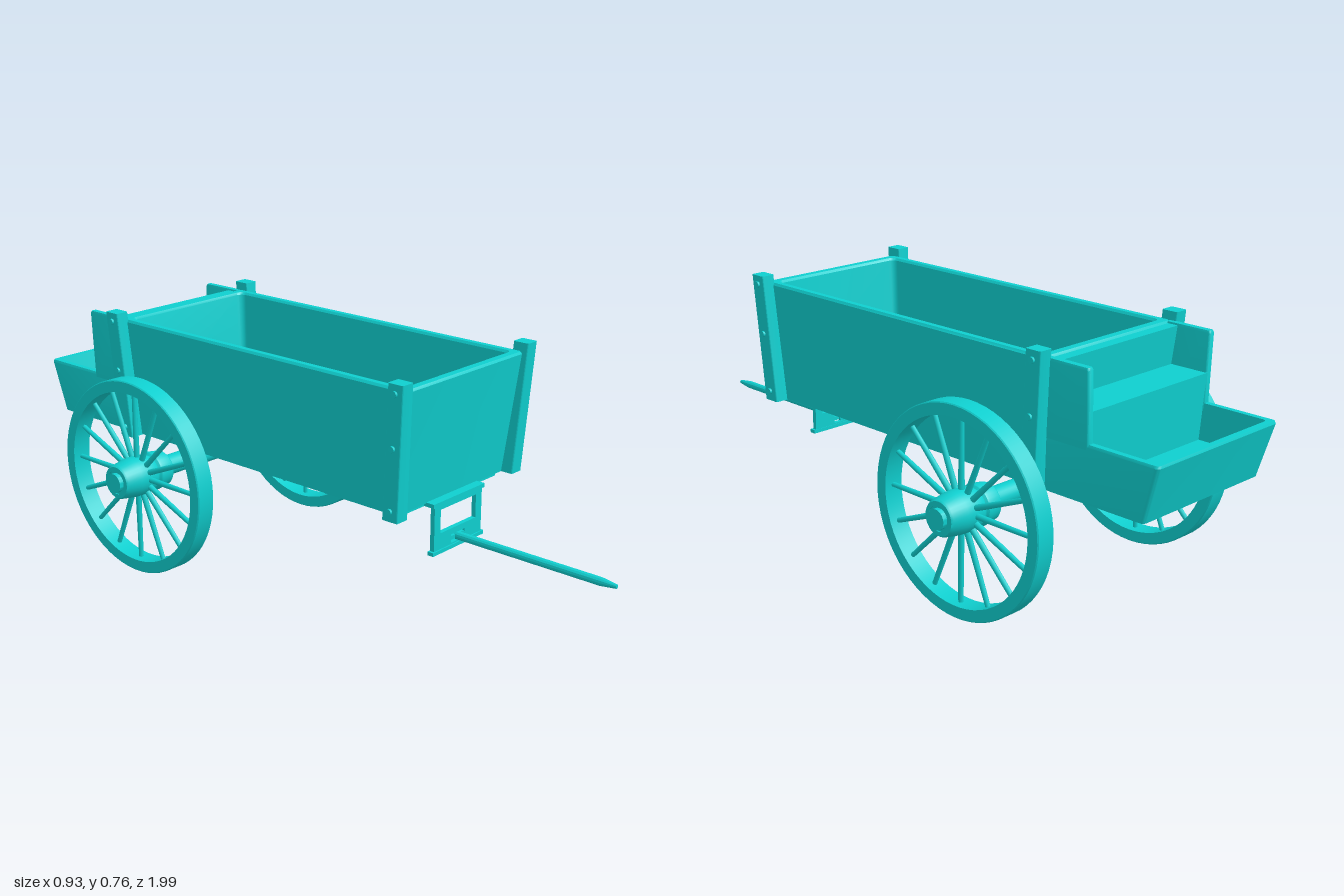
import * as THREE from 'three';
import { toCreasedNormals } from 'three/addons/utils/BufferGeometryUtils.js';

const paint = new THREE.MeshStandardMaterial({ color: 0x0fcfcf });

function add(parent, name, geometry, x = 0, y = 0, z = 0) {
  const mesh = new THREE.Mesh(geometry, paint);
  mesh.name = name;
  mesh.position.set(x, y, z);
  parent.add(mesh);
  return mesh;
}

// Horizontal rectangle at height y; corners rounded by r, or sharp when r is 0
function ring(y, x0, x1, z0, z1, r = 0) {
  const pts = [], seg = r ? 4 : 0;
  const corners = [[x1 - r, z1 - r], [x0 + r, z1 - r], [x0 + r, z0 + r], [x1 - r, z0 + r]];
  corners.forEach(([cx, cz], k) => {
    for (let i = 0; i <= seg; i++) {
      const a = (k + (seg ? i / seg : 0)) * Math.PI / 2;
      pts.push([cx + r * Math.cos(a), y, cz + r * Math.sin(a)]);
    }
  });
  return pts;
}

// Skin through successive rings, capped at the first and the last
function loft(rings) {
  const pos = [], n = rings[0].length;
  const centre = (p) => [0, 1, 2].map((k) => p.reduce((s, v) => s + v[k], 0) / n);
  const first = rings[0], last = rings[rings.length - 1];
  const c0 = centre(first), c1 = centre(last);
  for (let i = 0; i < n; i++) {
    const j = (i + 1) % n;
    pos.push(...c0, ...first[i], ...first[j], ...c1, ...last[j], ...last[i]);
    for (let k = 0; k + 1 < rings.length; k++) {
      const p = rings[k], q = rings[k + 1];
      pos.push(...p[i], ...q[i], ...p[j], ...p[j], ...q[i], ...q[j]);
    }
  }
  const g = new THREE.BufferGeometry();
  g.setAttribute('position', new THREE.Float32BufferAttribute(pos, 3));
  return toCreasedNormals(g, 0.5);
}

// Turned part with its axis along x; points are [radius, x]
function turned(points, segments) {
  const g = new THREE.LatheGeometry(points.map(([r, x]) => new THREE.Vector2(r, x)), segments);
  return toCreasedNormals(g.rotateZ(-Math.PI / 2), 0.5);
}

function createWheel() {
  const wheel = new THREE.Group();
  add(wheel, 'rim', turned([[0.264, -0.03], [0.297, -0.03], [0.3, -0.027], [0.3, 0.027],
    [0.297, 0.03], [0.264, 0.03], [0.264, -0.03]], 64));
  add(wheel, 'hub', turned([[0, -0.1], [0.05, -0.1], [0.054, -0.095], [0.06, -0.055], [0.058, -0.048],
    [0.052, -0.042], [0.058, -0.03], [0.061, 0], [0.06, 0.03], [0.052, 0.078], [0.048, 0.084],
    [0.036, 0.084], [0.036, 0.08], [0.029, 0.08], [0.029, 0.094], [0, 0.094]], 32));
  for (let i = 0; i < 16; i++) {
    const g = new THREE.CylinderGeometry(0.007, 0.009, 0.225, 8).translate(0, 0.16, 0);
    add(wheel, 'spoke', g.rotateX(i * Math.PI / 8));
  }
  return wheel;
}

export function createModel() {
  const cart = new THREE.Group();
  cart.name = 'cart';

  // Main tub, with walls leaning outward and a shallow recess below
  add(cart, 'tub', loft([
    ring(0.39, -0.21, 0.21, -0.57, 0.42, 0.012),
    ring(0.372, -0.21, 0.21, -0.57, 0.42, 0.012),
    ring(0.372, -0.241, 0.241, -0.6, 0.455, 0.012),
    ring(0.728, -0.259, 0.259, -0.632, 0.498, 0.012),
    ring(0.735, -0.254, 0.254, -0.628, 0.494, 0.012),
    ring(0.735, -0.237, 0.237, -0.607, 0.473, 0.02),
    ring(0.728, -0.232, 0.232, -0.603, 0.468, 0.02),
    ring(0.43, -0.218, 0.218, -0.58, 0.44, 0.02),
    ring(0.41, -0.2, 0.2, -0.562, 0.422, 0.02),
  ]));

  // Frame under the floor
  for (const z of [0.425, 0.08, -0.28, -0.56])
    add(cart, 'crossBeam', new THREE.BoxGeometry(0.426, 0.03, 0.045), 0, 0.377, z);
  add(cart, 'spineBeam', new THREE.BoxGeometry(0.06, 0.03, 0.97), 0, 0.378, -0.07);

  // Rear box
  add(cart, 'rearBox', loft([
    ring(0.372, -0.241, 0.241, -0.95, -0.602, 0.012),
    ring(0.528, -0.25, 0.25, -0.994, -0.618, 0.012),
    ring(0.535, -0.247, 0.247, -0.992, -0.618, 0.012),
    ring(0.535, -0.23, 0.23, -0.974, -0.638, 0.012),
    ring(0.43, -0.225, 0.225, -0.945, -0.63, 0.012),
  ]));
  add(cart, 'rearBench', loft([
    ring(0.42, -0.23, 0.23, -0.765, -0.62),
    ring(0.62, -0.236, 0.236, -0.775, -0.625),
  ]));
  add(cart, 'benchBack', loft([
    ring(0.61, -0.236, 0.236, -0.655, -0.625),
    ring(0.73, -0.24, 0.24, -0.668, -0.635),
  ]));

  for (const s of [-1, 1]) {
    const side = (y, a, b, z0, z1, r) => ring(y, Math.min(s * a, s * b), Math.max(s * a, s * b), z0, z1, r);
    add(cart, 'rearSideWall', loft([
      side(0.52, 0.228, 0.25, -0.775, -0.62, 0.006),
      side(0.728, 0.236, 0.258, -0.775, -0.63, 0.006),
      side(0.735, 0.238, 0.256, -0.772, -0.63, 0.006),
    ]));

    // Corner stakes with three bolts each
    const stakes = [['frontStake', 0.437, 0.49, 0.465, 0.516], ['rearStake', -0.625, -0.572, -0.651, -0.6]];
    for (const [name, b0, b1, t0, t1] of stakes) {
      add(cart, name, loft([
        side(0.37, 0.237, 0.282, b0, b1, 0.004),
        side(0.76, 0.254, 0.297, t0, t1, 0.004),
      ]));
      for (const y of [0.4, 0.58, 0.733]) {
        const t = (y - 0.37) / 0.39;
        const bolt = new THREE.CylinderGeometry(0.009, 0.009, 0.014, 10).rotateZ(Math.PI / 2);
        const z = THREE.MathUtils.lerp((b0 + b1) / 2, (t0 + t1) / 2, t);
        add(cart, 'bolt', bolt, s * (0.282 + 0.015 * t), y, z);
      }
    }

    // Wheels
    const wheel = createWheel();
    wheel.name = s > 0 ? 'leftWheel' : 'rightWheel';
    wheel.position.set(s * 0.37, 0.3, -0.45);
    if (s < 0) wheel.rotation.y = Math.PI;
    cart.add(wheel);
  }

  // Axle
  add(cart, 'axle', new THREE.CylinderGeometry(0.031, 0.031, 0.6, 24).rotateZ(Math.PI / 2), 0, 0.301, -0.45);

  // Hitch frame: plate with a wide window and a slot for the pole
  const plate = new THREE.Shape();
  plate.moveTo(-0.107, 0.225).lineTo(0.107, 0.225).lineTo(0.107, 0.37).lineTo(-0.107, 0.37).closePath();
  for (const [w, y0, y1] of [[0.08, 0.28, 0.35], [0.03, 0.236, 0.262]]) {
    const hole = new THREE.Path();
    hole.moveTo(-w, y0).lineTo(-w, y1).lineTo(w, y1).lineTo(w, y0).closePath();
    plate.holes.push(hole);
  }
  const plateGeometry = new THREE.ExtrudeGeometry(plate, { depth: 0.014, bevelEnabled: false });
  add(cart, 'hitchFrame', plateGeometry, 0, 0, 0.466);
  add(cart, 'hitchTop', new THREE.BoxGeometry(0.23, 0.012, 0.05), 0, 0.369, 0.458);
  add(cart, 'hitchFoot', new THREE.BoxGeometry(0.23, 0.011, 0.02), 0, 0.2265, 0.474);

  // Pole with a tapered tip
  const pole = [[0, 0.46], [0.012, 0.46], [0.012, 0.95], [0.006, 0.998], [0, 1]];
  add(cart, 'pole', turned(pole, 12).rotateY(-Math.PI / 2), 0, 0.25, 0);
  add(cart, 'polePin', new THREE.BoxGeometry(0.06, 0.012, 0.012), 0, 0.25, 0.473);

  return cart;
}
